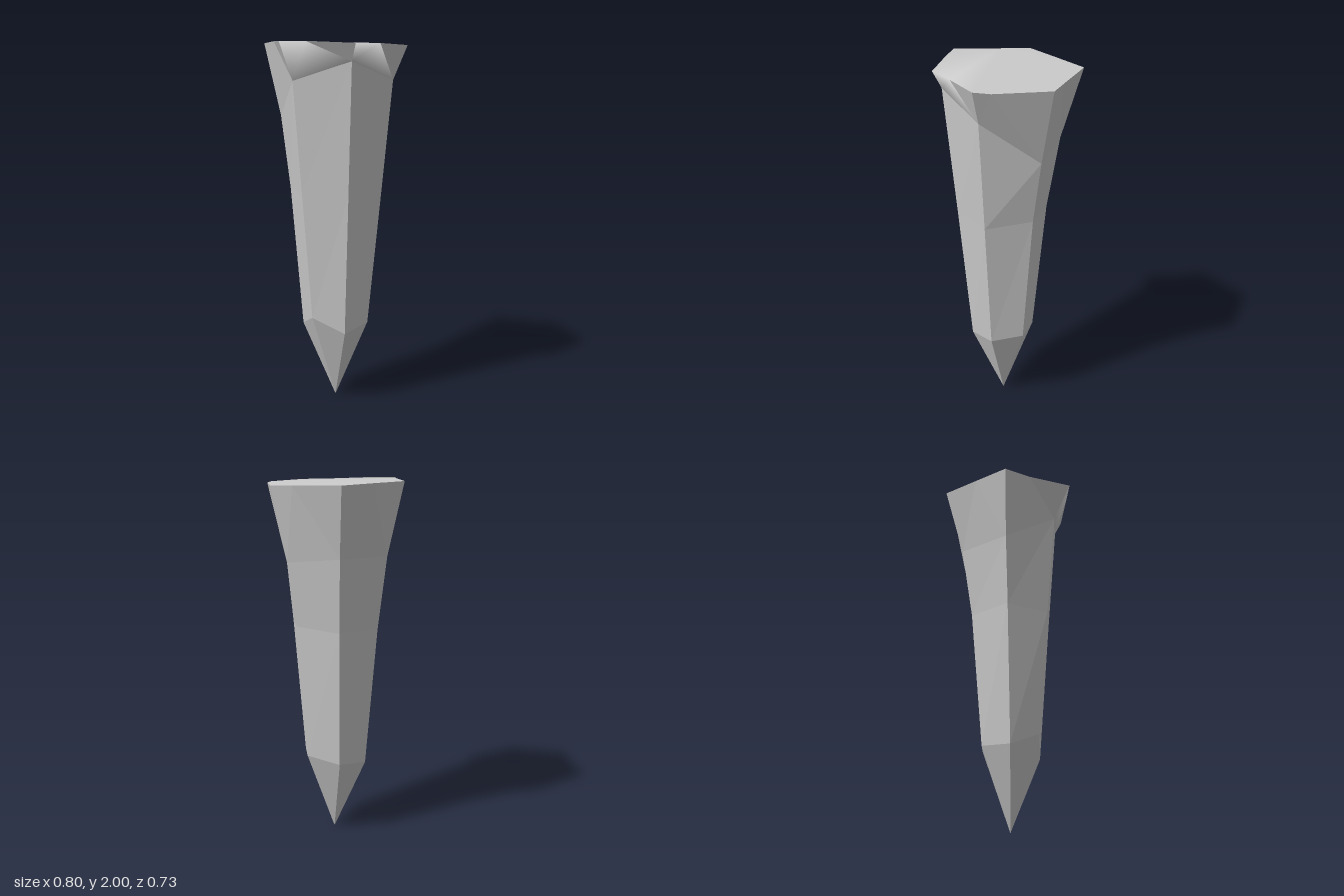
import * as THREE from 'three';

// Six corner edges, counter-clockwise from above: foot, waist, shoulder, rim
const corners = [
  [[-0.17, 0.5, 0.06], [-0.24, 1.2, 0.07], [-0.30, 1.8, 0.08], [-0.40, 2.0, 0.11]],
  [[-0.05, 0.42, 0.20], [-0.075, 1.2, 0.262], [-0.10, 1.9, 0.32], [-0.11, 1.99, 0.365]],
  [[0.13, 0.45, 0.17], [0.175, 1.2, 0.226], [0.21, 1.8, 0.27], [0.26, 1.98, 0.325]],
  [[0.19, 0.47, 0.0], [0.25, 1.22, -0.02], [0.31, 1.57, -0.03], [0.40, 1.97, -0.04]],
  [[0.055, 0.44, -0.14], [0.085, 1.2, -0.20], [0.11, 1.6, -0.26], [0.15, 1.975, -0.365]],
  [[-0.12, 0.42, -0.105], [-0.16, 1.2, -0.165], [-0.19, 1.6, -0.21], [-0.25, 1.99, -0.277]],
];
// Extra rim point on each side, between corner i and i + 1
const rimMids = [
  [-0.30, 2.0, 0.20], [0.06, 1.99, 0.347], [0.31, 1.975, 0.25],
  [0.32, 1.97, -0.14], [-0.05, 1.983, -0.321], [-0.29, 2.0, -0.115],
];
const tip = [0.01, 0, 0.03];

// Facets with hard edges
function flatGeometry(tris) {
  const g = new THREE.BufferGeometry();
  g.setAttribute('position', new THREE.Float32BufferAttribute(tris.flat(2), 3));
  g.computeVertexNormals();
  return g;
}

// Facets that share vertices, so their normals blend
function smoothGeometry(tris) {
  const points = [...new Set(tris.flat())];
  const g = new THREE.BufferGeometry();
  g.setAttribute('position', new THREE.Float32BufferAttribute(points.flat(), 3));
  g.setIndex(tris.flat().map((p) => points.indexOf(p)));
  g.computeVertexNormals();
  return g;
}

export function createModel() {
  const group = new THREE.Group();
  const material = new THREE.MeshStandardMaterial({ color: 0xcccccc });
  const point = [], shaft = [], flare = [], head = [], rim = [];

  corners.forEach((a, i) => {
    const b = corners[(i + 1) % 6];
    const m = rimMids[i];
    // Tapered point
    point.push([tip, b[0], a[0]]);
    // Shaft panels
    for (let k = 0; k < 2; k++) {
      shaft.push([a[k], b[k], b[k + 1]], [a[k], b[k + 1], a[k + 1]]);
    }
    // Flare up to the rim; the two front sides blend into the head
    (i < 2 ? head : flare).push([a[2], m, a[3]], [a[2], b[2], m]);
    flare.push([b[2], b[3], m]);
    rim.push(a[3], m);
  });

  // Flat head, fanned from the inward rim point
  const hub = rim[rim.length - 1];
  for (let i = 0; i < rim.length - 2; i++) head.push([hub, rim[i], rim[i + 1]]);

  const add = (name, geometry) => {
    const mesh = new THREE.Mesh(geometry, material);
    mesh.name = name;
    group.add(mesh);
  };
  add('point', flatGeometry(point));
  add('shaft', flatGeometry(shaft));
  add('flare', flatGeometry(flare));
  add('head', smoothGeometry(head));
  group.name = 'spike';
  return group;
}
